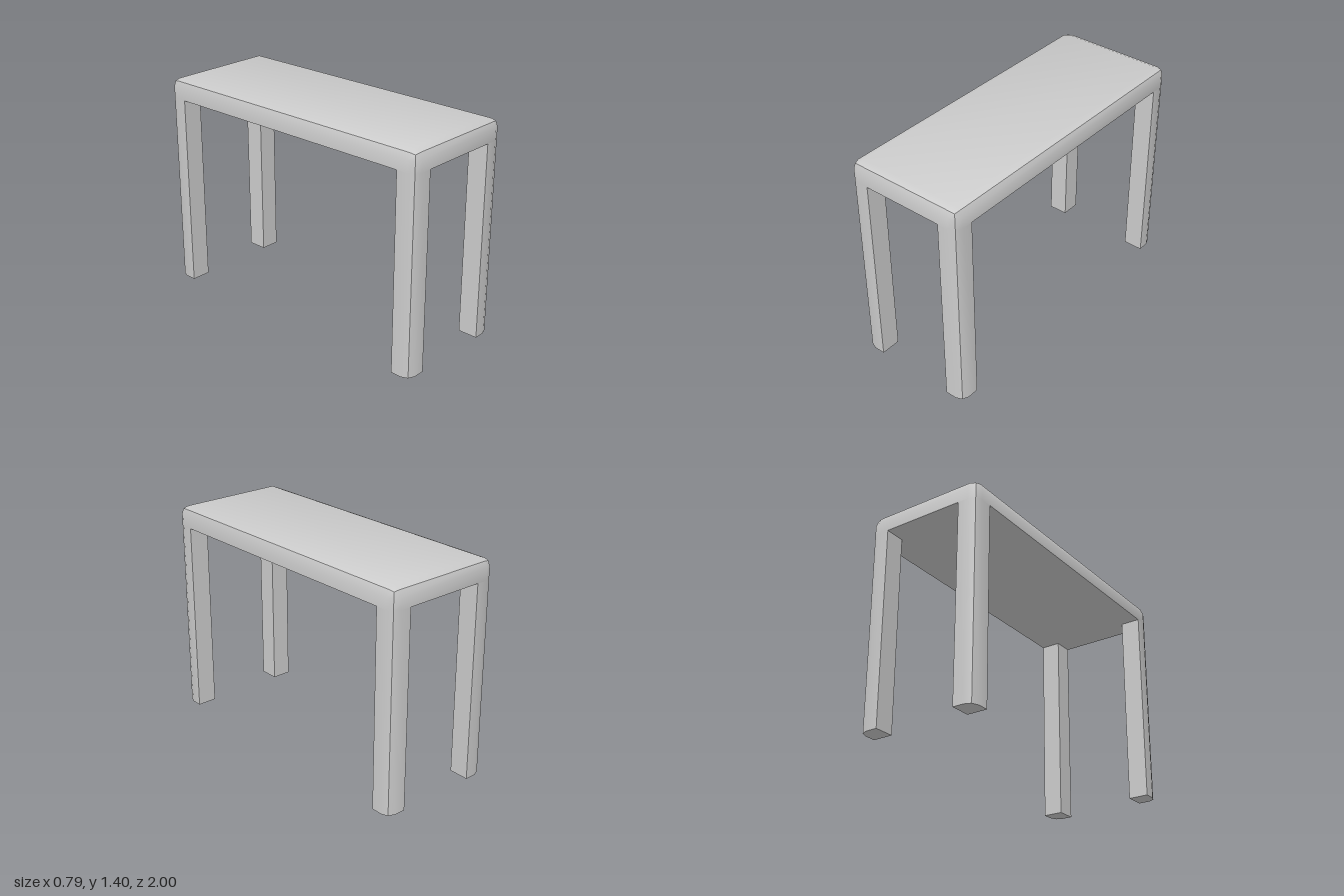
import * as THREE from 'three';
import { toCreasedNormals } from 'three/addons/utils/BufferGeometryUtils.js';
import { RoundedBoxGeometry } from 'three/addons/geometries/RoundedBoxGeometry.js';

const HALF_W = 0.395, HALF_D = 1, HEIGHT = 1.4;
const LEG = 0.13, UNDERSIDE = 1.27, BEVEL = 0.057;
const CREASE = 0.6;

export function createModel() {
  const group = new THREE.Group();
  group.name = 'table';
  const material = new THREE.MeshStandardMaterial({ color: 0xcccccc });

  const add = (name, geometry) => {
    const mesh = new THREE.Mesh(toCreasedNormals(geometry, CREASE), material);
    mesh.name = name;
    group.add(mesh);
  };

  // Top slab: two-step bevel above and on the upright corners, cut flat underneath
  const bottom = UNDERSIDE - BEVEL;
  const slab = new RoundedBoxGeometry(2 * HALF_W, HEIGHT - bottom, 2 * HALF_D, 1, BEVEL);
  slab.translate(0, (HEIGHT + bottom) / 2, 0);
  const pos = slab.attributes.position;
  for (let i = 0; i < pos.count; i++) pos.setY(i, Math.max(pos.getY(i), UNDERSIDE));
  add('tabletop', slab);

  // Legs: square posts with the same bevel on the outer corner
  const mid = BEVEL * (1 - Math.SQRT1_2);
  const section = [
    [HALF_W - LEG, HALF_D - LEG],
    [HALF_W, HALF_D - LEG],
    [HALF_W, HALF_D - BEVEL],
    [HALF_W - mid, HALF_D - mid],
    [HALF_W - BEVEL, HALF_D],
    [HALF_W - LEG, HALF_D],
  ];
  for (const sx of [1, -1]) {
    for (const sz of [1, -1]) {
      const shape = new THREE.Shape(section.map(([x, z]) => new THREE.Vector2(sx * x, -sz * z)));
      const leg = new THREE.ExtrudeGeometry(shape, { depth: UNDERSIDE, bevelEnabled: false });
      leg.rotateX(-Math.PI / 2);
      add((sz > 0 ? 'front' : 'back') + (sx > 0 ? 'Left' : 'Right') + 'Leg', leg);
    }
  }
  return group;
}
